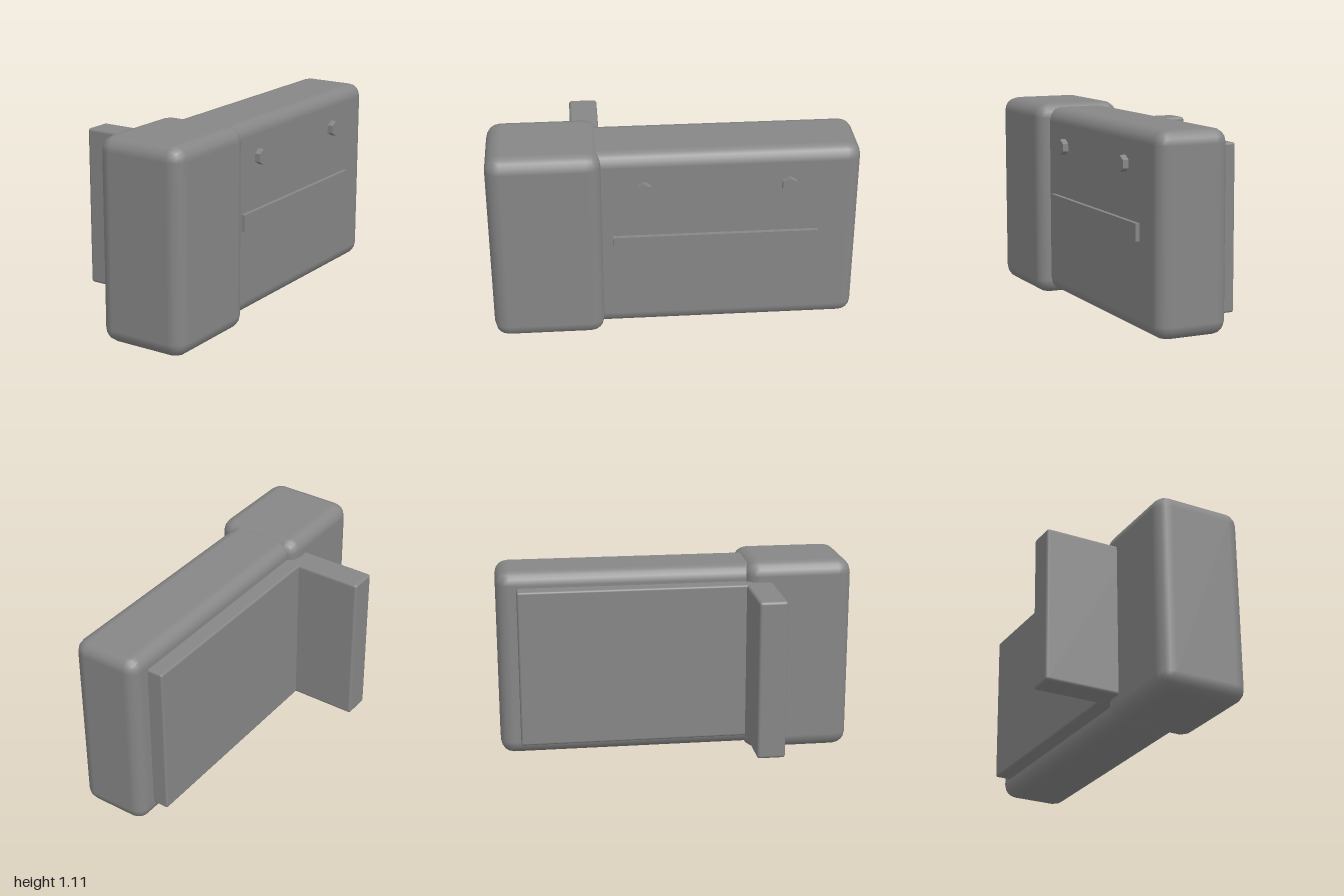
import * as THREE from 'three';
import { RoundedBoxGeometry } from 'three/addons/geometries/RoundedBoxGeometry.js';

export function createModel() {
  const group = new THREE.Group();
  const material = new THREE.MeshStandardMaterial({ color: 0x868686 });
  const flatMaterial = new THREE.MeshStandardMaterial({ color: 0x868686, flatShading: true });

  // Adds a box spanning the given ranges, with rounded edges if a radius is given
  function addBox(name, [x0, x1], [y0, y1], [z0, z1], radius = 0) {
    const size = [x1 - x0, y1 - y0, z1 - z0];
    const geometry = radius
      ? new RoundedBoxGeometry(...size, 2, radius)
      : new THREE.BoxGeometry(...size);
    const mesh = new THREE.Mesh(geometry, material);
    mesh.name = name;
    mesh.position.set((x0 + x1) / 2, (y0 + y1) / 2, (z0 + z1) / 2);
    group.add(mesh);
  }

  // Large rounded blocks
  addBox('frontBlock', [-0.044, 0.467], [0, 1.112], [0.39, 1], 0.08);
  addBox('mainBody', [0, 0.4], [0.026, 1.09], [-1, 0.5], 0.075);

  // Thin plates with slightly softened edges
  addBox('frontPlate', [-0.467, 0.05], [0.113, 1.001], [0.386, 0.543], 0.016);
  addBox('sidePlate', [-0.09, 0.04], [0.113, 1.001], [-0.887, 0.405], 0.012);

  // Raised strip on the left face
  addBox('sideStrip', [0.37, 0.423], [0.51, 0.603], [-0.777, 0.335]);

  // Hexagonal bolts, one corner pointing up
  const boltGeometry = new THREE.CylinderGeometry(0.044, 0.044, 0.06, 6, 1, false, Math.PI / 2);
  boltGeometry.rotateZ(-Math.PI / 2);
  for (const z of [0.168, -0.612]) {
    const bolt = new THREE.Mesh(boltGeometry, flatMaterial);
    bolt.name = z > 0 ? 'frontBolt' : 'rearBolt';
    bolt.position.set(0.403, 0.89, z);
    group.add(bolt);
  }
  return group;
}
